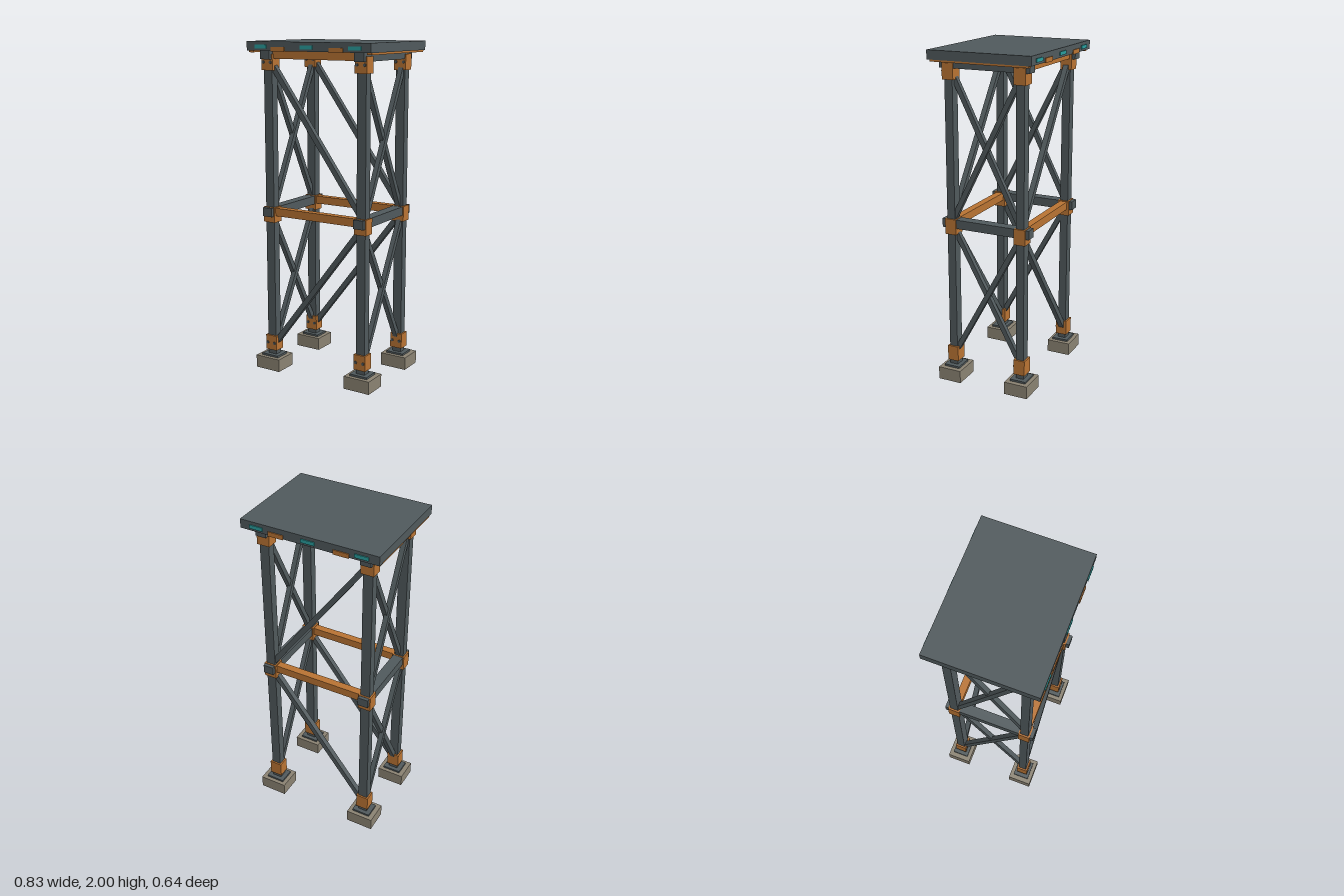
import * as THREE from 'three';

const mat = (name, color) => {
  const m = new THREE.MeshStandardMaterial({ color });
  m.name = name;
  return m;
};

export function createModel() {
  const steel = mat('steel', 0x50595c);
  const copper = mat('copper', 0xb87333);
  const concrete = mat('concrete', 0x8a8272);
  const teal = mat('teal', 0x2a9d9d);
  const model = new THREE.Group();
  model.name = 'tower';

  const LX = 0.317, LZ = 0.222; // leg centres

  // box given by its centre x, z and its bottom and top
  const box = (name, material, x, z, w, d, y0, y1) => {
    const mesh = new THREE.Mesh(new THREE.BoxGeometry(w, y1 - y0, d), material);
    mesh.name = name;
    mesh.position.set(x, (y0 + y1) / 2, z);
    model.add(mesh);
    return mesh;
  };

  // square bar between two points
  const brace = (name, a, b, size) => {
    const from = new THREE.Vector3(...a), to = new THREE.Vector3(...b);
    const mesh = new THREE.Mesh(new THREE.BoxGeometry(size, size, from.distanceTo(to)), steel);
    mesh.name = name;
    mesh.position.copy(from).add(to).multiplyScalar(0.5);
    mesh.lookAt(to);
    model.add(mesh);
  };

  // legs with footings, base plates, collars and bolts
  for (const sx of [-1, 1]) for (const sz of [-1, 1]) {
    const x = sx * LX, z = sz * LZ;
    box('footing', concrete, sx * 0.319, z, 0.17, 0.147, 0, 0.078);
    box('basePlate', steel, x, z, 0.115, 0.1, 0.078, 0.09);
    box('leg', steel, x, z, 0.058, 0.05, 0.09, 1.945);
    for (const [y0, y1] of [[0.117, 0.21], [0.928, 1.021], [1.833, 1.926]])
      box('collar', copper, x, z, 0.078, 0.07, y0, y1);
    for (const y of [0.163, 1.88]) for (const side of [-1, 1]) {
      const bolt = new THREE.Mesh(new THREE.CylinderGeometry(0.009, 0.009, 0.008, 8), steel);
      bolt.name = 'bolt';
      bolt.rotation.x = Math.PI / 2;
      bolt.position.set(x + side * 0.025, y, z + 0.037);
      model.add(bolt);
    }
  }

  // horizontal beams at mid height and under the deck
  for (const [y0, y1] of [[0.966, 1.019], [1.897, 1.95]]) {
    for (const s of [-1, 1]) {
      box('sideBeam', steel, s * LX, 0, 0.064, 0.556, y0, y1);
      box('crossBeam', copper, 0, s * LZ, 2 * LX, 0.046, y0 + 0.003, y1 - 0.002);
    }
  }

  // diagonal braces: single on front and back, crossed on the sides
  for (const s of [-1, 1]) {
    const z = s * LZ, x = s * LX;
    brace('upperDiagonal', [-LX, 1.888, z], [LX, 1.015, z], 0.032);
    brace('lowerDiagonal', [-LX, 0.14, z], [LX, 0.965, z], 0.032);
    for (const [y0, y1] of [[1.0, 1.885], [0.155, 0.97]]) {
      brace('sideBrace', [x - 0.006, y0, -LZ], [x - 0.006, y1, LZ], 0.03);
      brace('sideBrace', [x + 0.006, y0, LZ], [x + 0.006, y1, -LZ], 0.03);
    }
  }

  // deck with edge strips and coloured plates
  box('deck', steel, 0, 0, 0.83, 0.634, 1.947, 2);
  for (const s of [-1, 1]) {
    box('edgeStrip', copper, s * 0.396, 0, 0.03, 0.6, 1.936, 1.947);
    for (const x of [-0.315, 0, 0.315])
      box('edgeMarker', teal, x, s * 0.3185, 0.082, 0.008, 1.96, 1.981);
    for (const x of [-0.195, 0.195])
      box('edgeTab', copper, x, s * 0.3185, 0.092, 0.008, 1.944, 1.97);
  }
  return model;
}
